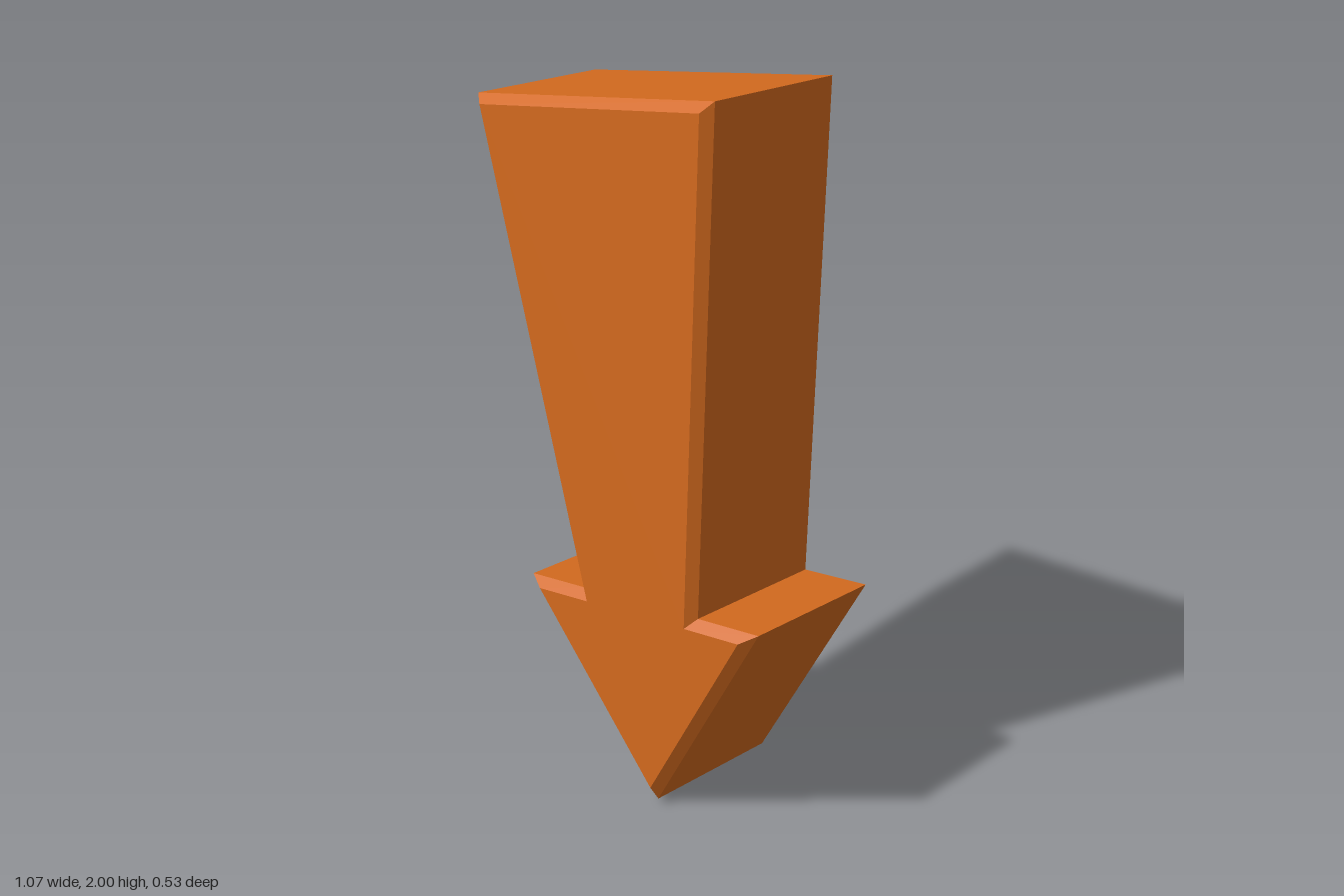
import * as THREE from 'three';

// Mitred inset of a counter-clockwise outline
function inset(points, d) {
  const n = points.length;
  return points.map((p, i) => {
    const a = p.clone().sub(points[(i + n - 1) % n]).normalize();
    const b = points[(i + 1) % n].clone().sub(p).normalize();
    const na = new THREE.Vector2(-a.y, a.x);
    const nb = new THREE.Vector2(-b.y, b.x);
    const k = d / (1 + na.dot(nb));
    return p.clone().addScaledVector(na.add(nb), k);
  });
}

// Prism with chamfered front and back rims, built from four rings
function chamferedPrism(outline, halfDepth, bevel) {
  const small = inset(outline, bevel);
  const rings = [
    [small, -halfDepth],
    [outline, -halfDepth + bevel],
    [outline, halfDepth - bevel],
    [small, halfDepth],
  ].map(([pts, z]) => pts.map((p) => [p.x, p.y, z]));
  const n = outline.length;
  const pos = [];
  const tri = (a, b, c) => pos.push(...a, ...b, ...c);

  // Side walls and chamfers
  for (let r = 0; r < 3; r++) {
    for (let i = 0; i < n; i++) {
      const j = (i + 1) % n;
      tri(rings[r][i], rings[r][j], rings[r + 1][j]);
      tri(rings[r][i], rings[r + 1][j], rings[r + 1][i]);
    }
  }
  // Front and back faces
  for (const [a, b, c] of THREE.ShapeUtils.triangulateShape(small, [])) {
    tri(rings[3][a], rings[3][b], rings[3][c]);
    tri(rings[0][c], rings[0][b], rings[0][a]);
  }
  const geometry = new THREE.BufferGeometry();
  geometry.setAttribute('position', new THREE.Float32BufferAttribute(pos, 3));
  geometry.computeVertexNormals();
  return geometry;
}

export function createModel() {
  const group = new THREE.Group();
  group.name = 'arrowSign';

  // Downward arrow: point, right barb, tapered shaft, left barb
  const outline = [
    [0.183, 0.006], [0.528, 0.646], [0.315, 0.615], [0.325, 1.994],
    [-0.535, 1.864], [-0.115, 0.55], [-0.328, 0.518],
  ].map(([x, y]) => new THREE.Vector2(x, y));

  const material = new THREE.MeshStandardMaterial({ color: 0xd2691e, flatShading: true });
  const arrow = new THREE.Mesh(chamferedPrism(outline, 0.24, 0.026), material);
  arrow.name = 'arrow';

  // Slight lean backwards and turn
  arrow.rotation.set(-0.027, 0.023, 0);
  arrow.position.z = 0.03;
  group.add(arrow);
  return group;
}
